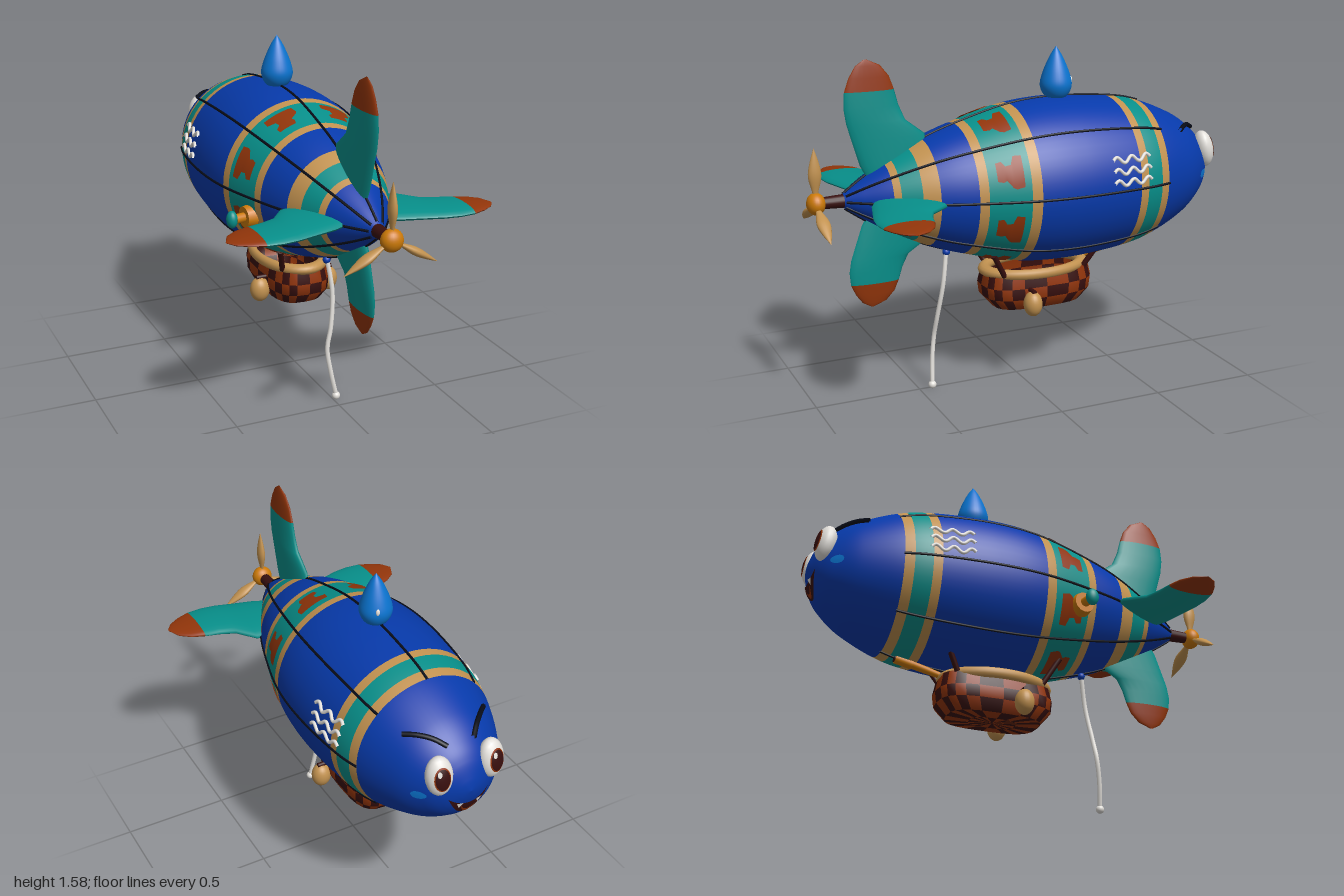
import * as THREE from 'three';

const mat = (name, color) => {
  const m = new THREE.MeshStandardMaterial({ color, side: THREE.DoubleSide });
  m.name = name;
  return m;
};
const blue = mat('hullBlue', 0x073aab), teal = mat('teal', 0x078f8a), tan = mat('tan', 0xc29250),
  rust = mat('rust', 0x92350a), brown = mat('darkBrown', 0x380f0e), ink = mat('seamInk', 0x080c18),
  sky = mat('skyBlue', 0x0a74d0), orange = mat('orange', 0xcc7a08), white = mat('white', 0xe2dfda);

const V = (x, y, z) => new THREE.Vector3(x, y, z);
const CY = 0.96; // height of the hull axis

// Hull profile as (z, radius), sampled for lookups both ways
const profile = new THREE.SplineCurve([
  [-0.992, 0], [-0.98, 0.055], [-0.95, 0.125], [-0.9, 0.185], [-0.8, 0.258], [-0.63, 0.331], [-0.47, 0.366],
  [-0.2, 0.385], [0.04, 0.368], [0.3, 0.302], [0.47, 0.242], [0.64, 0.158], [0.76, 0.085], [0.84, 0.028],
].map(([z, r]) => new THREE.Vector2(z, r))).getPoints(300);
const lookup = (key, out, value, list) => {
  const i = Math.max(1, list.findIndex((p) => p[key] >= value));
  const a = list[i - 1], b = list[i];
  return THREE.MathUtils.lerp(a[out], b[out], (value - a[key]) / (b[key] - a[key] || 1));
};
const radiusAt = (z) => lookup('x', 'y', z, profile);
const noseZ = (r) => lookup('y', 'x', r, profile);
const onHull = (angle, z, lift = 0) => {
  const r = radiusAt(z) + lift;
  return V(Math.cos(angle) * r, CY + Math.sin(angle) * r, z);
};
const onNose = (x, y, lift) => V(x, y, noseZ(Math.hypot(x, y - CY)) - lift);

// Surface grid from a rule f(u, v) -> Vector3
function grid(nu, nv, f) {
  const g = new THREE.PlaneGeometry(1, 1, nu, nv), p = g.attributes.position;
  for (let i = 0; i < p.count; i++) {
    const q = f((i % (nu + 1)) / nu, Math.floor(i / (nu + 1)) / nv);
    p.setXYZ(i, q.x, q.y, q.z);
  }
  g.computeVertexNormals();
  return g;
}

export function createModel() {
  const root = new THREE.Group();
  const add = (name, geo, material, pos = V(0, 0, 0), parent = root) => {
    const m = new THREE.Mesh(geo, material);
    m.name = name;
    m.position.copy(pos);
    parent.add(m);
    return m;
  };
  const tube = (name, pts, r, material, seg = 24) =>
    add(name, new THREE.TubeGeometry(new THREE.CatmullRomCurve3(pts), seg, r, 8), material);
  const ball = (name, pos, sx, sy, sz, material) => {
    const m = add(name, new THREE.SphereGeometry(1, 24, 16), material, pos);
    m.scale.set(sx, sy, sz);
    return m;
  };
  const rod = (name, a, b, r1, r2, material) => {
    const m = add(name, new THREE.CylinderGeometry(r2, r1, a.distanceTo(b), 16), material, a.clone().lerp(b, 0.5));
    m.quaternion.setFromUnitVectors(V(0, 1, 0), b.clone().sub(a).normalize());
    return m;
  };

  // Hull, turned in coloured sections from nose to tail
  const cuts = [-0.992, -0.626, -0.583, -0.503, -0.462, 0.037, 0.083, 0.267, 0.308, 0.466, 0.537, 0.62, 0.65, 0.84];
  const paint = [blue, tan, teal, tan, blue, tan, teal, tan, blue, tan, teal, tan, blue];
  paint.forEach((m, i) => {
    const inside = profile.filter((p) => p.x > cuts[i] + 1e-3 && p.x < cuts[i + 1] - 1e-3);
    const pts = [cuts[i], ...inside.map((p) => p.x), cuts[i + 1]].map((z) => new THREE.Vector2(Math.max(0, radiusAt(z)), z));
    add(m === blue ? 'hull' : 'hullBand', new THREE.LatheGeometry(pts, 64).rotateX(Math.PI / 2), m, V(0, CY, 0));
  });

  // Seams and the patches between them
  const patch = [[0.115, -0.2, 0.2], [0.15, -0.22, 0.21], [0.165, -0.2, 0.1], [0.19, -0.1, 0.09], [0.205, -0.12, 0.16], [0.23, -0.1, 0.15]];
  for (let k = 0; k < 8; k++) {
    const a = (k * Math.PI) / 4, mid = a + Math.PI / 8;
    const line = Array.from({ length: 20 }, (_, i) => onHull(a, -0.63 + (1.46 * i) / 19, 0.001));
    tube('seam', line, 0.006, ink, 40);
    add('hullPatch', grid(8, patch.length - 1, (u, v) => {
      const [z, l, r] = patch[Math.round(v * (patch.length - 1))];
      return onHull(mid + THREE.MathUtils.lerp(l, r, u), z, 0.005);
    }), rust);
  }

  // Tail fins: stations of span, leading z, trailing z, half thickness
  const fin = [[0.04, 0.45, 0.7, 0.03], [0.15, 0.43, 0.755, 0.03], [0.27, 0.45, 0.79, 0.028], [0.34, 0.54, 0.81, 0.026],
    [0.41, 0.57, 0.82, 0.024], [0.48, 0.588, 0.815, 0.021], [0.54, 0.61, 0.793, 0.016], [0.59, 0.65, 0.762, 0.01], [0.617, 0.71, 0.722, 0.002]];
  const finPart = (st) => grid(20, st.length - 1, (u, v) => {
    const [s, z0, z1, t] = st[Math.round(v * (st.length - 1))], a = u * Math.PI * 2;
    return V(Math.sin(a) * t, s, (z0 + z1) / 2 + (Math.cos(a) * (z1 - z0)) / 2);
  });
  for (let k = 0; k < 4; k++) {
    const g = new THREE.Group();
    g.name = 'tailFin';
    g.position.y = CY;
    g.rotation.z = (k * Math.PI) / 2;
    g.scale.y = k === 2 ? 0.83 : 1;
    add('finBlade', finPart(fin.slice(0, 6)), teal, undefined, g);
    add('finTip', finPart(fin.slice(5)), rust, undefined, g);
    root.add(g);
  }

  // Propeller
  rod('propellerShaft', V(0, CY, 0.8), V(0, CY, 0.94), 0.032, 0.026, brown);
  ball('propellerHub', V(0, CY, 0.96), 0.05, 0.05, 0.042, orange);
  const leaf = new THREE.SplineCurve([[0.008, 0], [0.013, 0.05], [0.03, 0.12], [0.022, 0.18], [0, 0.25]].map((p) => new THREE.Vector2(...p)));
  for (let k = 0; k < 3; k++) {
    const b = add('propellerBlade', new THREE.LatheGeometry(leaf.getPoints(14), 16), tan, V(0, CY, 0.96));
    b.scale.x = 0.6;
    b.rotation.z = (k * Math.PI * 2) / 3;
  }

  // Water drop on top
  const drop = new THREE.SplineCurve([[0, 1.325], [0.05, 1.345], [0.074, 1.395], [0.062, 1.455], [0.03, 1.53], [0, 1.577]].map((p) => new THREE.Vector2(...p)));
  add('drop', new THREE.LatheGeometry(drop.getPoints(30), 32), sky, V(0, 0, -0.2));
  ball('dropGlint', V(0.025, 1.42, -0.263), 0.01, 0.017, 0.008, white);

  // Chequered basket; each grid cell gets one of two colours
  const rings = [[0.545, 0.135, 0.26], [0.475, 0.15, 0.275], [0.42, 0.147, 0.268], [0.365, 0.12, 0.22], [0.36, 0.06, 0.11], [0.36, 0.001, 0.001]];
  const soft = (c) => Math.sign(c) * Math.abs(c) ** 0.65;
  const basket = grid(24, rings.length - 1, (u, v) => {
    const [y, a, c] = rings[Math.round(v * (rings.length - 1))], t = u * Math.PI * 2;
    return V(soft(Math.cos(t)) * a, y, -0.093 + soft(Math.sin(t)) * c);
  });
  for (let k = 0; k < 24 * (rings.length - 1); k++) basket.addGroup(k * 6, 6, (k + Math.floor(k / 24)) % 2);
  add('basket', basket, [brown, rust]);
  const rim = add('basketRim', new THREE.TorusGeometry(1, 0.13, 12, 48).rotateX(Math.PI / 2), tan, V(0, 0.543, -0.085));
  rim.scale.set(0.152, 0.19, 0.243);
  for (const s of [-1, 1]) {
    rod('basketStrut', V(s * 0.11, 0.54, 0.11), V(s * 0.15, 0.66, 0.18), 0.013, 0.013, brown);
    rod('basketStrut', V(s * 0.11, 0.54, -0.3), V(s * 0.14, 0.63, -0.35), 0.013, 0.013, brown);
    ball('float', V(s * 0.177, 0.41, -0.005), 0.047, 0.06, 0.044, tan);
    rod('floatArm', V(s * 0.1, 0.47, -0.005), V(s * 0.195, 0.47, -0.005), 0.011, 0.011, brown);
  }

  // Spyglass under the hull
  rod('spyglass', V(0, 0.55, -0.33), V(0, 0.592, -0.5), 0.014, 0.02, orange);
  rod('spyglassEnd', V(0, 0.586, -0.48), V(0, 0.604, -0.56), 0.022, 0.022, orange);
  rod('spyglassLens', V(0, 0.603, -0.556), V(0, 0.605, -0.564), 0.018, 0.018, brown);

  // Valve on the right flank
  rod('valvePlate', V(-0.3, 0.87, 0.22), V(-0.345, 0.87, 0.225), 0.056, 0.048, orange);
  rod('valveStem', V(-0.34, 0.87, 0.225), V(-0.39, 0.87, 0.235), 0.022, 0.022, orange);
  ball('valveKnob', V(-0.405, 0.87, 0.235), 0.025, 0.04, 0.03, teal);

  // Hanging line
  tube('line', [V(0, 0.67, 0.355), V(0.018, 0.51, 0.38), V(0, 0.35, 0.405), V(-0.021, 0.25, 0.415), V(-0.01, 0.14, 0.43), V(0.013, 0.022, 0.44)], 0.011, white, 40);
  ball('lineKnob', V(0.013, 0.019, 0.44), 0.019, 0.019, 0.019, white);
  ball('lineAnchor', V(0, 0.66, 0.355), 0.018, 0.018, 0.018, blue);

  // Face and flank details, mirrored
  for (const s of [-1, 1]) {
    const eye = new THREE.Group();
    eye.name = 'eye';
    eye.position.set(s * 0.125, 1.05, -0.935);
    eye.rotation.set(0.18, -s * 0.15, 0);
    eye.scale.set(0.06, 0.09, 0.046);
    root.add(eye);
    const cap = (name, r, angle, m) => add(name, new THREE.SphereGeometry(r, 24, 12, 0, Math.PI * 2, 0, angle).rotateX(-Math.PI / 2), m, undefined, eye);
    cap('eyeWhite', 1, Math.PI, white);
    cap('iris', 1.03, 0.64, rust);
    cap('pupil', 1.05, 0.54, brown);
    cap('eyeGlint', 1.07, 0.15, white).rotation.set(0.3, -0.2, 0);

    const brow = [[0.19, -0.76], [0.145, -0.805], [0.1, -0.85], [0.06, -0.895]].map(([x, z]) =>
      onHull(Math.PI / 2 - s * Math.asin(x / radiusAt(z)), z, 0.01));
    tube('brow', brow, 0.011, ink);

    add('cheek', grid(20, 3, (u, v) => {
      const t = u * Math.PI * 2;
      return onHull(Math.PI / 2 - s * (1.64 + Math.cos(t) * v * 0.1), -0.895 + Math.sin(t) * v * 0.026, 0.006);
    }), sky);

    for (let row = 0; row < 3; row++) {
      const wave = Array.from({ length: 21 }, (_, i) => {
        const z = -0.315 - i * 0.01, y = 1.0 + row * 0.05 + 0.013 * Math.sin((i / 20) * Math.PI * 5);
        const p = onHull(Math.asin((y - CY) / radiusAt(z)), z, 0.004);
        return V(s * p.x, p.y, p.z);
      });
      tube('flankWave', wave, 0.008, white, 60);
    }
    // Fangs hang from the upper lip
    add('fang', grid(2, 3, (u, v) => onNose(s * 0.045 + (u - 0.5) * 0.03 * (1 - v), 0.905 - v * 0.032, 0.009)), white);
  }

  // Smiling mouth and tongue
  const mouth = (w, top, low, lift) => grid(16, 5, (u, v) => {
    const k = u * 2 - 1;
    return onNose(k * w, THREE.MathUtils.lerp(top + 0.04 * k * k, low + (top + 0.04 - low) * k * k, v), lift);
  });
  add('mouth', mouth(0.095, 0.895, 0.825, 0.005), brown);
  add('tongue', mouth(0.04, 0.852, 0.832, 0.008), rust);
  return root;
}
